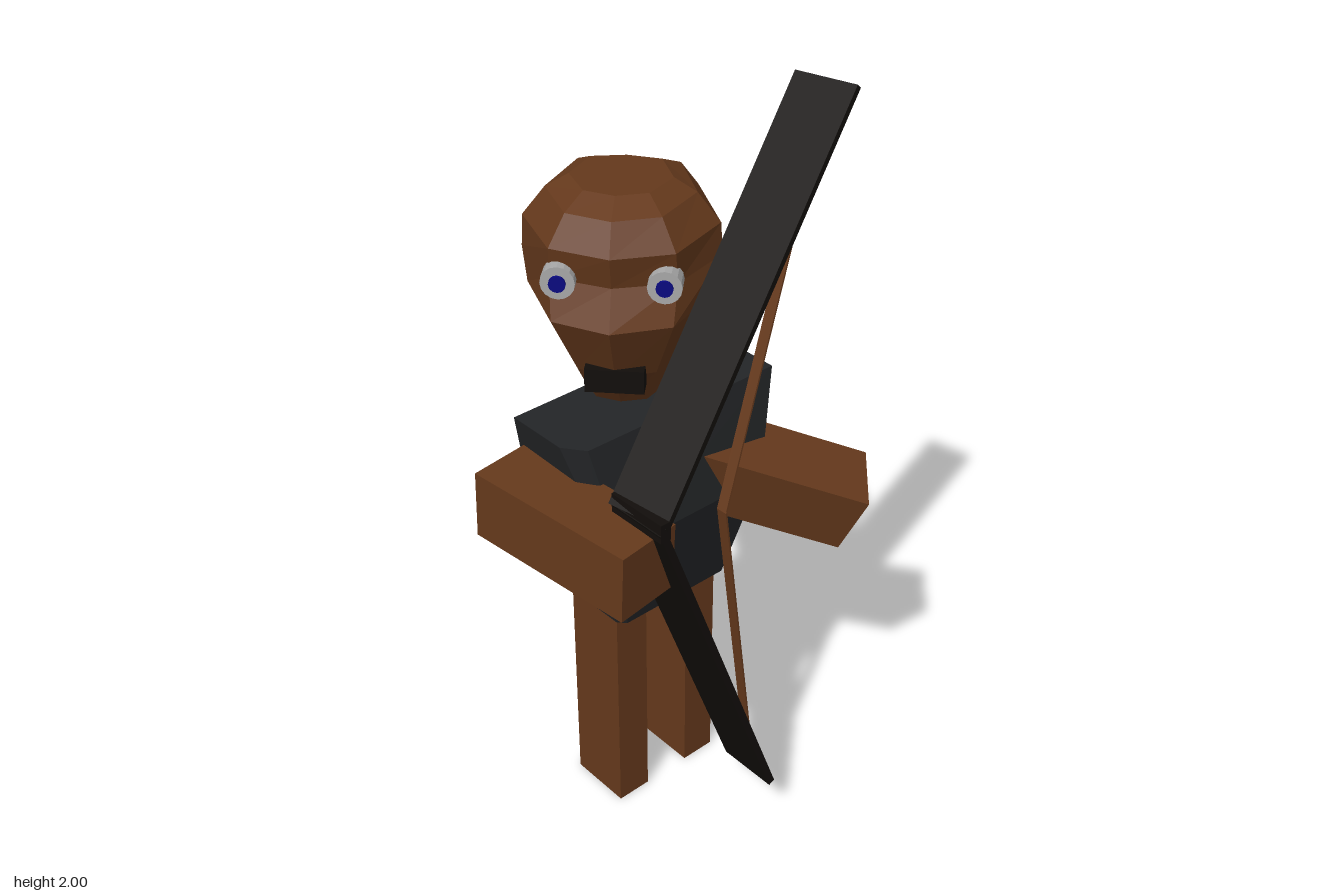
import * as THREE from 'three';

const material = (color) => new THREE.MeshStandardMaterial({ color, flatShading: true, side: THREE.DoubleSide });
const skin = material(0x65391c);
const cloth = material(0x232527);
const bowWood = material(0x120e0b);
const eyeWhite = material(0xa8a8a8);
const iris = material(0x0a0a80);

function add(parent, name, geometry, mat, x = 0, y = 0, z = 0) {
  const mesh = new THREE.Mesh(geometry, mat);
  mesh.name = name;
  mesh.position.set(x, y, z);
  parent.add(mesh);
  return mesh;
}

// Joins rings of [x, y, z] points (front, +x, back, -x order), bottom ring first, and caps both ends
function loft(rings) {
  const n = rings[0].length, index = [];
  const last = (rings.length - 1) * n;
  for (let r = 0; r < rings.length - 1; r++) {
    for (let i = 0; i < n; i++) {
      const a = r * n + i, b = r * n + (i + 1) % n;
      index.push(a, b, b + n, a, b + n, a + n);
    }
  }
  for (let i = 1; i < n - 1; i++) {
    index.push(0, i + 1, i, last, last + i, last + i + 1);
  }
  const geometry = new THREE.BufferGeometry();
  geometry.setAttribute('position', new THREE.Float32BufferAttribute(rings.flat(2), 3));
  geometry.setIndex(index);
  const flat = geometry.toNonIndexed();
  flat.computeVertexNormals();
  return flat;
}

// Box running from point a to point b, its width lying along the side direction
function plank(parent, name, mat, a, b, side, width, thickness) {
  const start = new THREE.Vector3(...a), end = new THREE.Vector3(...b);
  const length = start.distanceTo(end);
  const axis = end.clone().sub(start).normalize();
  const across = new THREE.Vector3(...side);
  across.addScaledVector(axis, -across.dot(axis)).normalize();
  const normal = across.clone().cross(axis);
  const mesh = add(parent, name, new THREE.BoxGeometry(width, length, thickness), mat);
  mesh.quaternion.setFromRotationMatrix(new THREE.Matrix4().makeBasis(across, axis, normal));
  mesh.position.copy(start).lerp(end, 0.5);
  return mesh;
}

function createHead() {
  const head = new THREE.Group();
  head.name = 'head';
  head.position.set(-0.11, 0, 0.04);
  head.rotation.y = 0.75;

  // Outline of a slice: width factor, depth factor
  const outline = [[0, 1], [0.62, 0.82], [1, 0.12], [0.7, -0.85], [0, -1], [-0.7, -0.85], [-1, 0.12], [-0.62, 0.82]];
  // Height, half width, front depth, back depth
  const slices = [
    [1.24, 0.1, 0.1, 0.09],
    [1.36, 0.15, 0.19, 0.14],
    [1.52, 0.225, 0.275, 0.2],
    [1.61, 0.235, 0.225, 0.22],
    [1.69, 0.23, 0.245, 0.21],
    [1.76, 0.175, 0.2, 0.165],
    [1.79, 0.12, 0.13, 0.1],
  ];
  const rings = slices.map(([y, w, front, back]) =>
    outline.map(([u, v]) => [u * w, y, v * (v > 0 ? front : back)]));
  add(head, 'skull', loft(rings), skin);

  // Eyes
  for (const s of [-1, 1]) {
    const white = new THREE.CylinderGeometry(0.04, 0.04, 0.05, 16).rotateX(Math.PI / 2);
    const dot = new THREE.CylinderGeometry(0.02, 0.02, 0.01, 12).rotateX(Math.PI / 2);
    add(head, 'eye', white, eyeWhite, s * 0.12, 1.62, 0.205);
    add(head, 'iris', dot, iris, s * 0.12, 1.62, 0.232);
  }
  add(head, 'mouth', new THREE.BoxGeometry(0.14, 0.06, 0.05), bowWood, 0, 1.36, 0.185);
  return head;
}

function createTorso() {
  const bottom = [[-0.17, 0.2], [0.03, 0.2], [0.05, 0.18], [0.05, -0.15], [-0.17, -0.15]];
  const middle = [[-0.21, 0.275], [0.09, 0.275], [0.12, 0.25], [0.12, -0.215], [-0.21, -0.215]];
  const top = [[-0.155, 0.35], [0.02, 0.35], [0.075, 0.31], [0.08, -0.28], [-0.16, -0.285]];
  const at = (points, y) => points.map(([x, z]) => [x, y, z]);
  return loft([at(bottom, 0.64), at(middle, 0.95), at(top, 1.24)]);
}

function createBow() {
  const bow = new THREE.Group();
  bow.name = 'bow';
  const upperTip = [0.155, 1.99, -0.34], lowerTip = [0.275, 0.14, -0.06];
  const grip = [0.275, 1.17, 0.33], nock = [0.27, 1.06, 0.065];
  plank(bow, 'upperLimb', bowWood, grip, upperTip, [1, 0, -0.1], 0.172, 0.016);
  plank(bow, 'lowerLimb', bowWood, lowerTip, grip, [1, 0, 0], 0.17, 0.02);
  add(bow, 'grip', new THREE.BoxGeometry(0.17, 0.05, 0.03), bowWood, 0.275, 1.17, 0.322);
  // Drawn string
  plank(bow, 'upperString', skin, nock, upperTip, [1, 0, 0], 0.03, 0.005);
  plank(bow, 'lowerString', skin, lowerTip, nock, [1, 0, 0], 0.03, 0.005);
  return bow;
}

export function createModel() {
  const model = new THREE.Group();
  model.name = 'archer';
  model.add(createHead());
  add(model, 'torso', createTorso(), cloth);

  // Legs
  for (const z of [0.15, -0.09]) {
    add(model, 'leg', new THREE.BoxGeometry(0.18, 0.66, 0.1), skin, -0.06, 0.33, z);
  }

  // Arms: one holds the bow across the chest, the other reaches back and down
  plank(model, 'bowArm', skin, [-0.147, 1.062, 0.401], [0.318, 1.04, 0.338], [0, 1, 0], 0.183, 0.177);
  plank(model, 'drawArm', skin, [-0.01, 1.03, -0.07], [0.265, 0.865, -0.41], [0.7, -0.22, 0.68], 0.183, 0.183);

  model.add(createBow());
  return model;
}
